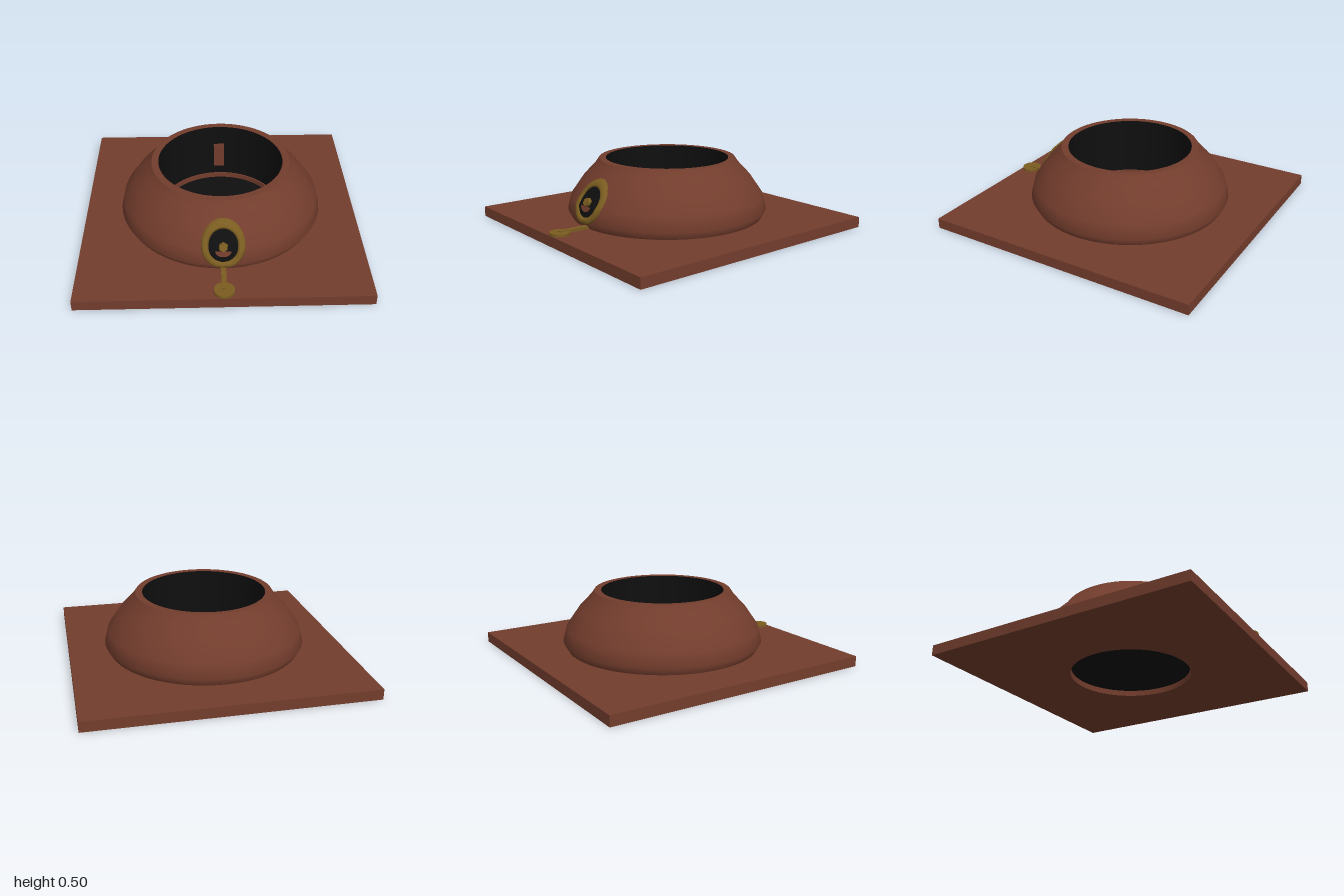
import * as THREE from 'three';

// Outer wall profile: [radius, height]
const PROFILE = [[0.705, 0.075], [0.735, 0.13], [0.71, 0.23], [0.62, 0.36], [0.53, 0.455], [0.5, 0.5]];

// Depth of the curved wall at a given x, y on the front side
function wallZ(x, y) {
  let r = PROFILE[0][0];
  for (let i = 1; i < PROFILE.length; i++) {
    const [r0, y0] = PROFILE[i - 1], [r1, y1] = PROFILE[i];
    if (y >= y0) r = THREE.MathUtils.lerp(r0, r1, Math.min(1, (y - y0) / (y1 - y0)));
  }
  return Math.sqrt(r * r - x * x);
}

// Lays a geometry modelled around the xy origin onto the wall at height cy
function wrapOnWall(geo, cy, offset) {
  const p = geo.attributes.position;
  for (let i = 0; i < p.count; i++) {
    const x = p.getX(i), y = p.getY(i) + cy;
    p.setXYZ(i, x, y, p.getZ(i) + wallZ(x, y) + offset);
  }
  geo.computeVertexNormals();
  return geo;
}

const vecs = (list) => list.map(([x, y]) => new THREE.Vector2(x, y));

export function createModel() {
  const model = new THREE.Group();
  const material = (name, color, side = THREE.FrontSide) => {
    const m = new THREE.MeshStandardMaterial({ color, side });
    m.name = name;
    return m;
  };
  const clay = material('brown clay', 0x733d2d, THREE.DoubleSide);
  const brass = material('dark brass', 0x7a5c20);
  const soot = material('black soot', 0x0f0f0f, THREE.DoubleSide);

  const add = (name, geo, mat, x = 0, y = 0, z = 0) => {
    const mesh = new THREE.Mesh(geo, mat);
    mesh.name = name;
    mesh.position.set(x, y, z);
    model.add(mesh);
    return mesh;
  };

  // Square base slab with a round hole
  const square = new THREE.Shape(vecs([[-1, -1], [1, -1], [1, 1], [-1, 1]]));
  square.holes.push(new THREE.Path().absarc(0, 0, 0.44, 0, Math.PI * 2, true));
  const slab = new THREE.ExtrudeGeometry(square, { depth: 0.075, bevelEnabled: false, curveSegments: 48 });
  add('baseSlab', slab.rotateX(-Math.PI / 2), clay);

  // Bowl wall, flat rim and blackened inside
  add('bowlWall', new THREE.LatheGeometry(vecs(PROFILE), 64), clay);
  add('bowlRim', new THREE.RingGeometry(0.45, 0.5, 64).rotateX(-Math.PI / 2), clay, 0, 0.5, 0);
  add('bowlLining', new THREE.CylinderGeometry(0.45, 0.45, 0.425, 64, 1, true), soot, 0, 0.2875, 0);
  add('bowlFloor', new THREE.CircleGeometry(0.436, 64).rotateX(-Math.PI / 2), soot, 0, 0.04, 0);
  add('innerBackPlate', new THREE.BoxGeometry(0.08, 0.2, 0.008), clay, 0, 0.25, -0.44);

  // Round vent on the front, following the wall
  const ring = new THREE.LatheGeometry(
    vecs([[0.15, -0.02], [0.15, 0.008], [0.137, 0.02], [0.115, 0.02], [0.1, 0.008], [0.1, -0.02]]), 40);
  add('ventRing', wrapOnWall(ring.rotateX(Math.PI / 2), 0.26, 0), brass);
  add('ventOpening', wrapOnWall(new THREE.RingGeometry(0.001, 0.104, 40, 10), 0.26, 0.007), soot);
  const lip = new THREE.CircleGeometry(0.055, 16, Math.PI, Math.PI).scale(1, 0.7, 1);
  add('ventLip', wrapOnWall(lip, 0.237, 0.013), clay);
  const knob = new THREE.CylinderGeometry(0.03, 0.037, 0.04, 6).rotateX(Math.PI / 2);
  add('ventKnob', knob, brass, 0, 0.26, 0.7).rotation.x = -0.45;

  // Flat handle lying on the slab: tapered bar with a round end
  const bar = new THREE.BoxGeometry(0.04, 0.022, 0.25);
  const p = bar.attributes.position;
  for (let i = 0; i < p.count; i++) if (p.getZ(i) > 0) p.setX(i, p.getX(i) * 0.7);
  add('handleBar', bar, brass, 0, 0.089, 0.805);
  add('handleDisc', new THREE.CylinderGeometry(0.07, 0.07, 0.018, 32), brass, 0, 0.085, 0.93);

  return model;
}
